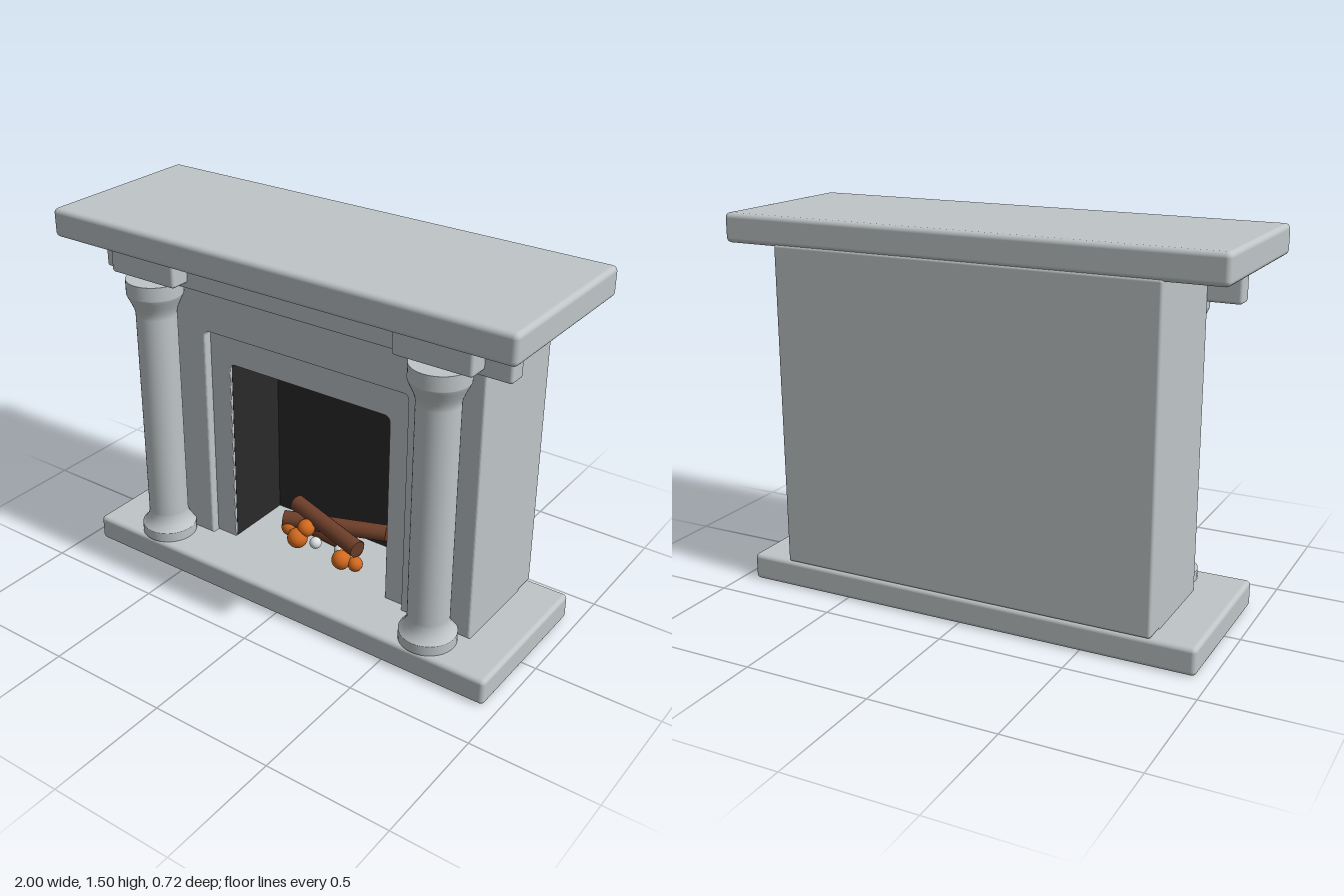
import * as THREE from 'three';
import { RoundedBoxGeometry } from 'three/addons/geometries/RoundedBoxGeometry.js';

const mat = (name, color) => {
  const m = new THREE.MeshStandardMaterial({ color });
  m.name = name;
  return m;
};

const FLOOR = 0.108; // top of the hearth slab

// U-shaped outline standing on the hearth, with rounded upper corners
function archShape(half, top, rOut, innerHalf, innerTop, rIn) {
  const s = new THREE.Shape();
  s.moveTo(half, FLOOR);
  if (rOut > 0) {
    s.lineTo(half, top - rOut);
    s.absarc(half - rOut, top - rOut, rOut, 0, Math.PI / 2, false);
    s.absarc(rOut - half, top - rOut, rOut, Math.PI / 2, Math.PI, false);
  } else {
    s.lineTo(half, top);
    s.lineTo(-half, top);
  }
  s.lineTo(-half, FLOOR);
  s.lineTo(-innerHalf, FLOOR);
  s.lineTo(-innerHalf, innerTop - rIn);
  s.absarc(rIn - innerHalf, innerTop - rIn, rIn, Math.PI, Math.PI / 2, true);
  s.absarc(innerHalf - rIn, innerTop - rIn, rIn, Math.PI / 2, 0, true);
  s.lineTo(innerHalf, FLOOR);
  s.closePath();
  return s;
}

// Extrude an outline between two z values, bevel included
function extrude(shape, z0, z1, bevel) {
  const g = new THREE.ExtrudeGeometry(shape, {
    depth: z1 - z0 - 2 * bevel, curveSegments: 5,
    bevelEnabled: bevel > 0, bevelSize: bevel, bevelThickness: bevel,
    bevelOffset: -bevel, bevelSegments: 3,
  });
  g.translate(0, 0, z0 + bevel);
  return g;
}

export function createModel() {
  const group = new THREE.Group();
  const stone = mat('stone', 0xbfc5c7);
  const soot = mat('soot', 0x2a2a2a);
  const wood = mat('wood', 0x6e3f2a);
  const ember = mat('ember', 0xd2691e);
  const ash = mat('ash', 0xdcdfe0);

  const add = (name, geometry, material) => {
    const mesh = new THREE.Mesh(geometry, material);
    mesh.name = name;
    group.add(mesh);
    return mesh;
  };

  // Rounded slab given by its extents
  const slab = (name, x0, x1, y0, y1, z0, z1, r) => {
    const mesh = add(name, new RoundedBoxGeometry(x1 - x0, y1 - y0, z1 - z0, 3, r), stone);
    mesh.position.set((x0 + x1) / 2, (y0 + y1) / 2, (z0 + z1) / 2);
    return mesh;
  };

  slab('mantelShelf', -1, 1, 1.385, 1.5, -0.36, 0.36, 0.02);
  slab('hearth', -0.945, 0.945, 0, FLOOR, -0.36, 0.307, 0.018);
  slab('frieze', -0.905, 0.905, 1.233, 1.39, 0.11, 0.187, 0.012);

  // Chimney body: solid back and a front surround with a stepped opening
  slab('bodyBack', -0.775, 0.775, FLOOR, 1.395, -0.36, -0.23, 0.012);
  add('bodySurround', extrude(archShape(0.775, 1.395, 0, 0.47, 1.04, 0.02), -0.27, 0.12, 0.008), stone);
  add('openingFrame', extrude(archShape(0.475, 1.045, 0.02, 0.375, 0.91, 0.025), 0.073, 0.085, 0.003), stone);

  // Blackened firebox
  add('fireboxLining', extrude(archShape(0.46, 1.0, 0, 0.375, 0.91, 0.025), -0.225, 0.074, 0), soot);
  const back = add('fireboxBack', new THREE.BoxGeometry(0.78, 0.82, 0.008), soot);
  back.position.set(0, FLOOR + 0.41, -0.222);

  // Columns with flared base and capital, and the blocks above them
  const profile = [
    [0, 0.108], [0.111, 0.108], [0.112, 0.109], [0.112, 0.149], [0.112, 0.151],
    [0.104, 0.157], [0.093, 0.173], [0.085, 0.19], [0.081, 0.21], [0.081, 0.22],
    [0.081, 1.1], [0.081, 1.11], [0.085, 1.128], [0.094, 1.15], [0.106, 1.176],
    [0.112, 1.19], [0.112, 1.193], [0.112, 1.249], [0.111, 1.25], [0, 1.25],
  ].map(([r, y]) => new THREE.Vector2(r, y));
  const columnGeometry = new THREE.LatheGeometry(profile, 40);
  for (const [side, s] of [['left', 1], ['right', -1]]) {
    add(side + 'Column', columnGeometry, stone).position.set(0.642 * s, 0, 0.2);
    const block = slab(side + 'CapitalBlock', 0.485, 0.8, 1.258, 1.39, 0.12, 0.267, 0.012);
    block.position.x *= s;
  }

  // Logs laid across each other: start, end, radius
  const up = new THREE.Vector3(0, 1, 0);
  [
    [[-0.19, 0.245, -0.1], [0.185, 0.213, 0], 0.036],
    [[-0.205, 0.2, -0.03], [0.205, 0.2, -0.185], 0.035],
    [[-0.15, 0.145, -0.12], [0.13, 0.145, -0.09], 0.036],
  ].forEach(([a, b, r], i) => {
    const p = new THREE.Vector3(...a), q = new THREE.Vector3(...b);
    const dir = q.clone().sub(p);
    const log = add('log' + (i + 1), new THREE.CylinderGeometry(r, r, dir.length(), 16), wood);
    log.position.copy(p).add(q).multiplyScalar(0.5);
    log.quaternion.setFromUnitVectors(up, dir.normalize());
  });

  // Glowing embers and pale ash lumps: x, y, z, radius
  const lumps = (name, material, list) => list.forEach(([x, y, z, r], i) => {
    add(name + (i + 1), new THREE.SphereGeometry(r, 20, 14), material).position.set(x, y, z);
  });
  lumps('ember', ember, [
    [-0.175, 0.17, -0.03, 0.037], [-0.085, 0.203, -0.02, 0.037], [-0.108, 0.162, 0.01, 0.043],
    [0.12, 0.15, 0.02, 0.04], [0.175, 0.14, 0, 0.031],
  ]);
  lumps('ashLump', ash, [[-0.023, 0.165, 0, 0.025], [0.058, 0.128, -0.06, 0.025]]);

  return group;
}
